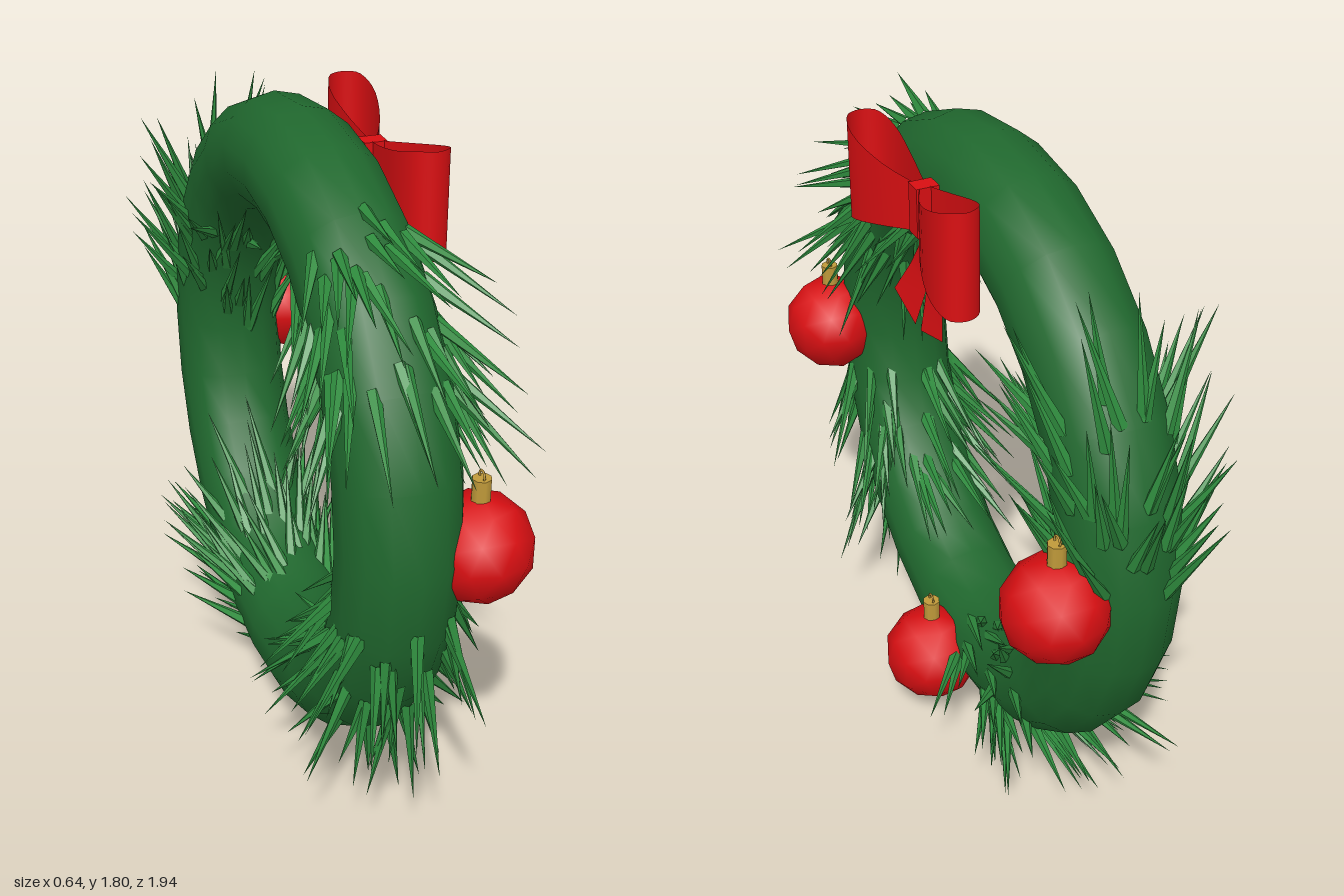
import * as THREE from 'three';
import { mergeGeometries } from 'three/addons/utils/BufferGeometryUtils.js';

const R = 0.695, TUBE = 0.153;

const mat = (name, color, opts = {}) => {
  const m = new THREE.MeshStandardMaterial({ color, ...opts });
  m.name = name;
  return m;
};

// Small seeded generator for the needle scatter
function seeded(seed) {
  return () => {
    seed = (seed * 1664525 + 1013904223) % 4294967296;
    return seed / 4294967296;
  };
}

// Ribbon surface from pairs of edge points [[upper, lower], ...]
function ribbon(pairs) {
  const pos = [], idx = [];
  pairs.forEach(([a, b], i) => {
    pos.push(...a, ...b);
    if (i) {
      const k = i * 2;
      idx.push(k - 2, k - 1, k, k - 1, k + 1, k);
    }
  });
  const g = new THREE.BufferGeometry();
  g.setAttribute('position', new THREE.Float32BufferAttribute(pos, 3));
  g.setIndex(idx);
  g.computeVertexNormals();
  return g;
}

// One sprig: needles around the tube, swept along the ring and flared outward
function sprig(from, to, count, rand) {
  const parts = [], up = new THREE.Vector3(0, 1, 0);
  for (let i = 0; i < count; i++) {
    const a = THREE.MathUtils.degToRad(from + (to - from) * rand());
    const p = (i / count) * Math.PI * 2 + rand() * 0.3;
    const radial = new THREE.Vector3(Math.cos(a), Math.sin(a), 0);
    const tangent = new THREE.Vector3(-Math.sin(a), Math.cos(a), 0);
    const normal = radial.clone().multiplyScalar(Math.cos(p));
    normal.z = Math.sin(p);
    const side = new THREE.Vector3().crossVectors(tangent, normal);
    const dir = tangent.clone()
      .addScaledVector(normal, 0.3 + 0.5 * rand())
      .addScaledVector(side, (rand() - 0.5) * 0.5).normalize();
    const len = 0.2 + 0.12 * rand();
    const base = radial.clone().multiplyScalar(R).addScaledVector(normal, TUBE - 0.015);
    const g = new THREE.ConeGeometry(0.018, len, 5, 1, true);
    g.translate(0, len / 2, 0);
    g.applyQuaternion(new THREE.Quaternion().setFromUnitVectors(up, dir));
    g.translate(base.x, base.y, base.z);
    parts.push(g);
  }
  return mergeGeometries(parts);
}

export function createModel() {
  const green = mat('wreath green', 0x20682e);
  const needleGreen = mat('needle green', 0x2f8c3e, { flatShading: true });
  const red = mat('ornament red', 0xd90f12);
  const ribbonRed = mat('ribbon red', 0xd90f12, { side: THREE.DoubleSide });
  const gold = mat('cap gold', 0xc09a3a);

  const wreath = new THREE.Group();
  wreath.name = 'wreath';
  const add = (parent, name, geo, material, x = 0, y = 0, z = 0) => {
    const m = new THREE.Mesh(geo, material);
    m.name = name;
    m.position.set(x, y, z);
    parent.add(m);
    return m;
  };

  // Ring
  add(wreath, 'ring', new THREE.TorusGeometry(R, TUBE, 14, 24), green);

  // Four needle sprigs
  const rand = seeded(7);
  [[-1, 36], [118, 151], [191, 226], [274, 308]].forEach(([from, to], i) =>
    add(wreath, `needleSprig${i + 1}`, sprig(from, to, 78, rand), needleGreen));

  // Three baubles with caps and hanging loops
  [[-0.73, -0.01], [0.73, -0.02], [-0.02, -0.74]].forEach(([x, y], i) => {
    const b = new THREE.Group();
    b.name = `bauble${i + 1}`;
    b.position.set(x, y, 0.185);
    add(b, 'ball', new THREE.IcosahedronGeometry(0.138, 1), red);
    add(b, 'cap', new THREE.CylinderGeometry(0.024, 0.024, 0.06, 8), gold, 0, 0.157, 0);
    add(b, 'hangingLoop', new THREE.TorusGeometry(0.014, 0.003, 5, 10), gold, 0, 0.192, 0);
    wreath.add(b);
  });

  // Bow
  const bow = new THREE.Group();
  bow.name = 'bow';
  bow.position.set(0, 0.678, 0.16);
  wreath.add(bow);
  add(bow, 'knot', new THREE.BoxGeometry(0.05, 0.13, 0.06), red, 0, 0, 0.025);

  // Plan outline of a loop: distance from the knot and depth
  const plan = new THREE.CatmullRomCurve3(
    [[0, 0.035], [0.12, 0.09], [0.24, 0.115], [0.305, 0.1], [0.325, 0.06], [0.305, 0.02],
      [0.24, 0], [0.12, 0.005], [0, 0.02]].map(([d, z]) => new THREE.Vector3(d, 0, z)));
  // Centre line of a tail: sideways, height, depth, half width
  const tail = [[0.005, -0.04, 0.03, 0.015], [0.025, -0.13, 0.015, 0.032],
    [0.05, -0.21, 0.025, 0.05], [0.085, -0.306, 0.05, 0.068]];

  for (const s of [-1, 1]) {
    const side = s < 0 ? 'left' : 'right';
    const loop = plan.getPoints(28).map(p => {
      const t = Math.min(1, p.x / 0.31);
      const h = 0.062 + 0.076 * Math.pow(t, 1.2);
      return [[s * p.x, h, p.z], [s * p.x, -h, p.z]];
    });
    add(bow, `${side}Loop`, ribbon(loop), ribbonRed);
    const strip = tail.map(([x, y, z, w]) => [
      [s * (x + w), y + w * 0.28, z], [s * (x - w), y - w * 0.28, z]]);
    add(bow, `${side}Tail`, ribbon(strip), ribbonRed);
  }

  // Face the wreath toward +x and stand it up
  wreath.rotation.y = Math.PI / 2;
  wreath.position.set(0.01, 1.02, -0.02);
  const model = new THREE.Group();
  model.name = 'decoratedWreath';
  model.add(wreath);
  return model;
}
